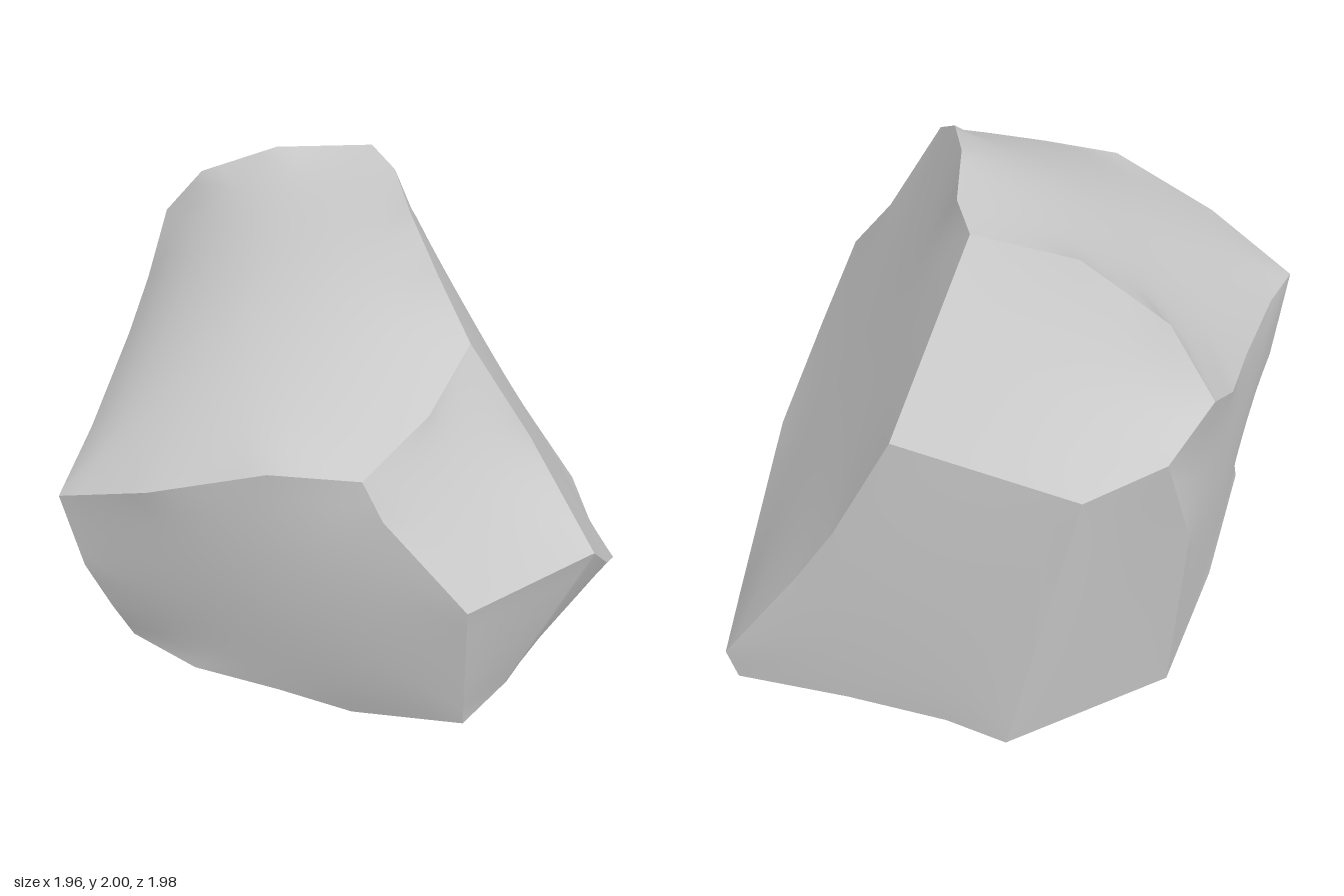
import * as THREE from 'three';

// Corners of the boulder where three or more facets meet
const corner = {
  peak: [-0.1, 2, -0.52], ridgeEnd: [0.41, 1.8, 0.49], brow: [0.13, 1.55, 0.97],
  leftBrow: [-0.98, 1.22, 0.82], leftShoulder: [-0.97, 1.6, -0.6],
  backLeftA: [-0.88, 1.47, -0.81], backLeftB: [-0.65, 1.38, -0.98], backTop: [0.01, 1.45, -0.99],
  rightBrow: [0.89, 1.08, 0.64], cheek: [0.49, 1.05, 0.99],
  rightHeel: [0.89, 0.16, -0.62], backHeel: [0.78, 0.15, -0.97],
  rightToe: [0.82, 0.03, -0.63], backToe: [0.75, 0, -0.95],
  frontToe: [0.48, 0.365, 0.85], leftToe: [-0.86, 0.36, 0.6],
  leftFoot: [-0.88, 0.11, -0.47], backFoot: [-0.39, 0.08, -0.96],
};

// Bends along the edges that are not straight
const bends = {
  'peak>ridgeEnd': [[0.02, 2, -0.33], [0.13, 2, 0], [0.27, 1.93, 0.29]],
  'ridgeEnd>brow': [[0.31, 1.67, 0.74]],
  'brow>leftBrow': [[-0.18, 1.545, 0.98], [-0.61, 1.38, 0.94]],
  'leftBrow>leftShoulder': [[-0.96, 1.29, 0.5], [-0.965, 1.38, 0], [-0.98, 1.44, -0.32]],
  'leftShoulder>peak': [[-0.79, 1.82, -0.54], [-0.47, 1.97, -0.5]],
  'ridgeEnd>rightBrow': [[0.63, 1.42, 0.46]],
  'brow>cheek': [[0.2, 1.4, 0.98]],
  'rightBrow>rightHeel': [[0.945, 0.81, 0.37], [0.98, 0.52, 0]],
  'frontToe>rightToe': [[0.61, 0.2, 0.45], [0.72, 0.11, 0.05]],
  'leftBrow>leftToe': [[-0.95, 0.85, 0.76], [-0.9, 0.58, 0.68]],
  'frontToe>leftToe': [[0.04, 0.23, 0.74], [-0.25, 0.29, 0.73], [-0.59, 0.31, 0.69]],
  'leftToe>leftFoot': [[-0.91, 0.375, 0.5], [-0.92, 0.23, 0.03]],
  'backLeftA>leftFoot': [[-0.94, 1.02, -0.63]],
  'backTop>backHeel': [[0.25, 0.97, -0.99], [0.42, 0.69, -0.98]],
  'backFoot>backToe': [[-0.15, 0.11, -0.96], [0.26, 0.08, -0.96]],
};

// Facets: corner loop and a push of the middle away from its relaxed shape
const facets = [
  ['topFacet', 'peak ridgeEnd brow leftBrow leftShoulder', [0, 0.12, 0]],
  ['backSlope', 'peak leftShoulder backLeftA backLeftB backTop', [0, 0, 0]],
  ['rightSlope', 'peak ridgeEnd rightBrow rightHeel backHeel backTop', [0, 0, 0]],
  ['frontRightChamfer', 'ridgeEnd brow cheek rightBrow', [0, 0, 0]],
  ['frontFacet', 'brow leftBrow leftToe frontToe cheek', [0, 0, 0.03]],
  ['underside', 'frontToe leftToe leftFoot backFoot backToe rightToe', [0, -0.12, 0.15]],
  ['leftFacet', 'leftBrow leftShoulder backLeftA leftFoot leftToe', [-0.02, 0, 0]],
  ['backLeftFacet', 'backLeftA backLeftB backFoot leftFoot', [0, 0, 0]],
  ['backFacet', 'backLeftB backTop backHeel backToe backFoot', [0, 0, -0.015]],
];

const vec = (p) => new THREE.Vector3(...p);

// Corner, bends, corner
function edgeLine(a, b) {
  const mids = bends[`${a}>${b}`] || [...(bends[`${b}>${a}`] || [])].reverse();
  return [corner[a], ...mids, corner[b]].map(vec);
}

// Evenly spaced points from one corner up to (not including) the next
function edgePoints(a, b) {
  const line = edgeLine(a, b);
  const out = [];
  for (let i = 0; i < line.length - 1; i++) {
    const steps = Math.max(1, Math.round(line[i].distanceTo(line[i + 1]) / 0.09));
    for (let s = 0; s < steps; s++) out.push(line[i].clone().lerp(line[i + 1], s / steps));
  }
  return out;
}

function smoothGeometry(points, index) {
  const geometry = new THREE.BufferGeometry().setFromPoints(points);
  geometry.setIndex(index);
  geometry.computeVertexNormals();
  return geometry;
}

// Fill a loop with rings, relaxed like a stretched skin on a disc with the rim held fixed
function facetGeometry(names, push) {
  const rim = names.flatMap((n, i) => edgePoints(n, names[(i + 1) % names.length]));
  const count = rim.length, rings = 8;
  const centre = new THREE.Vector3();
  rim.forEach((p) => centre.addScaledVector(p, 1 / count));
  const grid = [];
  for (let r = 0; r < rings; r++) grid.push(rim.map((p) => p.clone().lerp(centre, r / rings)));

  for (let pass = 0; pass < 200; pass++) {
    for (let r = 1; r < rings; r++) {
      const radius = 1 - r / rings;
      const lean = 0.5 / (rings * radius);
      const around = (count / (2 * Math.PI * rings * radius)) ** 2;
      grid[r] = grid[r].map((p, i) => {
        const inner = r + 1 < rings ? grid[r + 1][i] : centre;
        return new THREE.Vector3()
          .addScaledVector(grid[r - 1][i], 1 + lean).addScaledVector(inner, 1 - lean)
          .addScaledVector(grid[r][(i + 1) % count], around)
          .addScaledVector(grid[r][(i + count - 1) % count], around)
          .divideScalar(2 + 2 * around);
      });
    }
    centre.set(0, 0, 0);
    grid[rings - 1].forEach((p) => centre.addScaledVector(p, 1 / count));
  }

  // Swell the middle
  const swell = vec(push);
  grid.forEach((ring, r) => {
    const t = r / rings;
    if (r > 0) ring.forEach((p) => p.addScaledVector(swell, t * (2 - t)));
  });
  centre.add(swell);

  // Wind the loop so that the facet looks away from the core
  const normal = new THREE.Vector3();
  rim.forEach((p, i) => {
    const q = rim[(i + 1) % count];
    normal.add(p.clone().sub(centre).cross(q.clone().sub(centre)));
  });
  const outward = normal.dot(centre.clone().sub(new THREE.Vector3(0, 0.9, 0))) > 0;

  const index = [];
  const tri = (a, b, c) => (outward ? index.push(a, b, c) : index.push(a, c, b));
  for (let r = 0; r < rings; r++) {
    for (let i = 0; i < count; i++) {
      const j = (i + 1) % count;
      const a = r * count + i, b = r * count + j;
      if (r === rings - 1) tri(a, b, rings * count);
      else {
        tri(a, b, b + count);
        tri(a, b + count, a + count);
      }
    }
  }
  return smoothGeometry([...grid.flat(), centre], index);
}

// Straight-ruled strip between an upper and a lower chain of edges
function stripGeometry(upper, lower) {
  const paths = [upper, lower].map((names) => {
    const path = new THREE.CurvePath();
    for (let i = 0; i < names.length - 1; i++) {
      const line = edgeLine(names[i], names[i + 1]);
      for (let k = 0; k < line.length - 1; k++) path.add(new THREE.LineCurve3(line[k], line[k + 1]));
    }
    return path;
  });
  const stops = paths.flatMap((path) => path.getCurveLengths().map((d) => d / path.getLength()));
  const along = [0, ...stops.slice(0, -1).filter((u) => u < 0.999), 1].sort((a, b) => a - b);
  const rows = 6, points = [], index = [];
  along.forEach((u, i) => {
    const [top, bottom] = paths.map((path) => path.getPoint(u));
    for (let k = 0; k <= rows; k++) {
      points.push(top.clone().lerp(bottom, k / rows));
      if (i > 0 && k > 0) {
        const d = i * (rows + 1) + k, c = d - 1, b = d - rows - 1, a = b - 1;
        index.push(a, b, d, a, d, c);
      }
    }
  });
  return smoothGeometry(points, index);
}

export function createModel() {
  const boulder = new THREE.Group();
  boulder.name = 'boulder';
  const stone = new THREE.MeshStandardMaterial({ color: 0xcccccc });
  const add = (name, geometry) => {
    const mesh = new THREE.Mesh(geometry, stone);
    mesh.name = name;
    boulder.add(mesh);
  };
  for (const [name, loop, push] of facets) add(name, facetGeometry(loop.split(' '), push));
  add('lowerRightFacet', stripGeometry(
    ['cheek', 'rightBrow', 'rightHeel', 'backHeel'], ['frontToe', 'rightToe', 'backToe']));
  return boulder;
}
